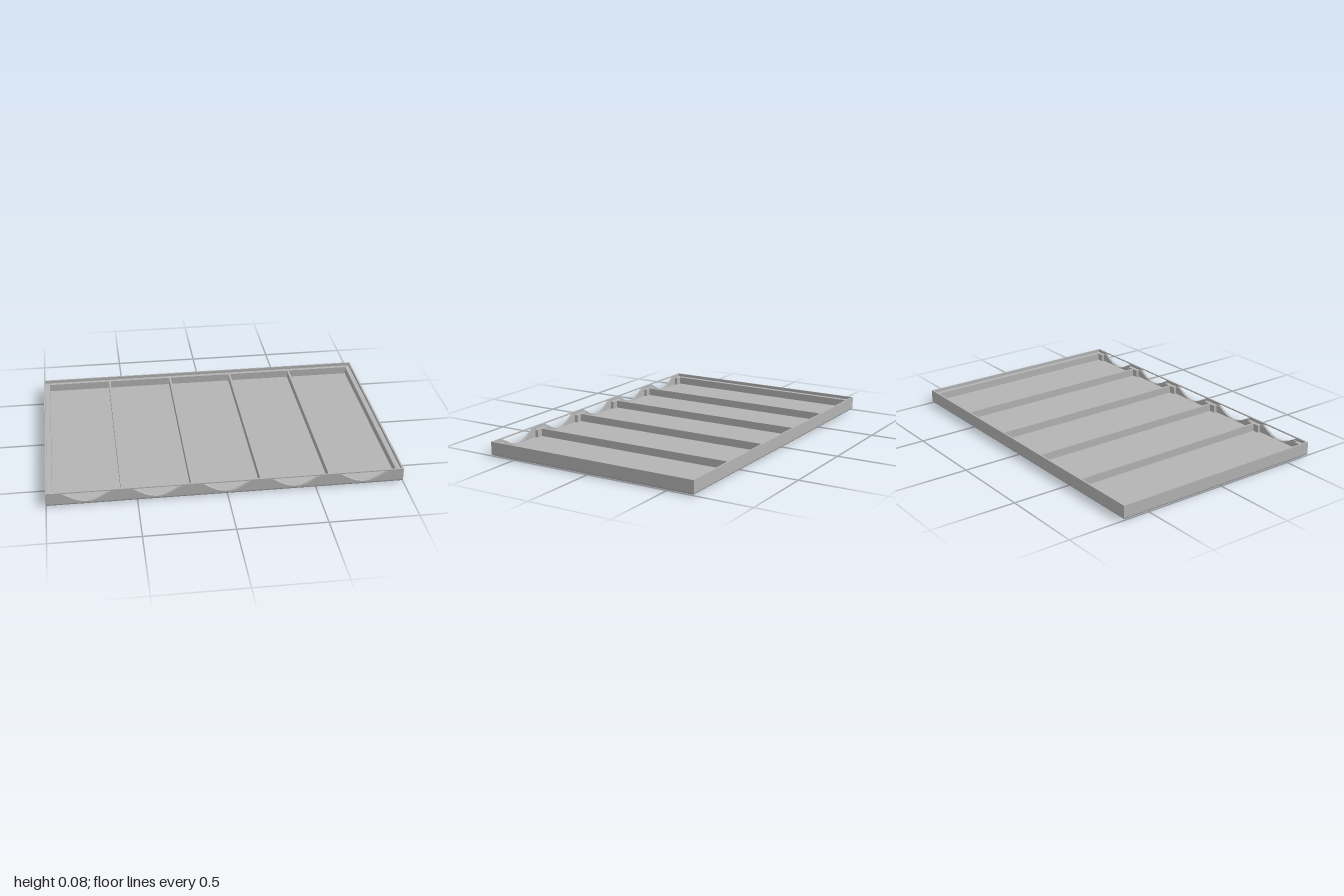
import * as THREE from 'three';

const W = 1, D = 0.66, R = 0.015;            // half width, half depth, bottom rounding
const FLOOR = 0.02, LEDGE = 0.065, TOP = 0.083;
const COMB = 0.645, RIM = 0.009;             // front end of the dividers, rim thickness
const CENTRES = [-2, -1, 0, 1, 2].map(i => i * 0.388);

export function createModel() {
  const group = new THREE.Group();
  const grey = new THREE.MeshStandardMaterial({ color: 0xb4b4b4 });
  grey.name = 'grey plastic';
  const add = (name, geo, x = 0, y = 0, z = 0) => {
    const mesh = new THREE.Mesh(geo, grey);
    mesh.name = name;
    mesh.position.set(x, y, z);
    group.add(mesh);
    return mesh;
  };
  const polygon = pts => new THREE.Shape(pts.map(p => new THREE.Vector2(...p)));

  // Underside plate with four round blind sockets
  const under = polygon([[-W + R, -D + R], [W - R, -D + R], [W - R, D - R], [-W + R, D - R]]);
  const r = 0.028, socketDepth = 0.012;
  for (const sx of [-1, 1]) for (const sz of [-1, 1]) {
    const x = sx * (W - 0.055), z = sz * (D - 0.055);
    under.holes.push(new THREE.Path().absarc(x, z, r, 0, Math.PI * 2, true));
    const wall = new THREE.CylinderGeometry(r, r, socketDepth, 24, 1, true);
    wall.scale(-1, 1, 1);                    // mirrored so that the inside shows
    add('socketWall', wall, x, socketDepth / 2, z);
    add('socketEnd', new THREE.CircleGeometry(r, 24).rotateX(Math.PI / 2), x, socketDepth, z);
  }
  add('underside', new THREE.ShapeGeometry(under, 12).rotateX(Math.PI / 2));

  // Rounded bottom edge, one mitred strip per side
  const corners = [[-1, 1], [1, 1], [1, -1], [-1, -1]], steps = 6;
  corners.forEach((a, k) => {
    const b = corners[(k + 1) % 4], pos = [], index = [];
    for (let i = 0; i <= steps; i++) {
      const t = i / steps * Math.PI / 2;
      const inset = R * (1 - Math.sin(t)), y = R * (1 - Math.cos(t));
      for (const [sx, sz] of [a, b]) pos.push(sx * (W - inset), y, sz * (D - inset));
      if (i < steps) {
        const n = 2 * i;
        index.push(n, n + 1, n + 3, n, n + 3, n + 2);
      }
    }
    const geo = new THREE.BufferGeometry();
    geo.setAttribute('position', new THREE.Float32BufferAttribute(pos, 3));
    geo.setIndex(index);
    geo.computeVertexNormals();
    add('roundedBottomEdge', geo);
  });

  // Tray floor
  add('floor', new THREE.PlaneGeometry(2 * W - 0.02, 2 * D - 0.02).rotateX(-Math.PI / 2), 0, FLOOR, 0);

  // Side walls, back wall and dividers as one comb, open to the front wall
  const comb = [[-W, D], [-W, -COMB]];
  const half = 0.188, openHalf = 0.15, shoulder = -0.627, back = 0.628;
  for (const c of CENTRES) {
    // the outer compartments end at the side walls
    const left = Math.max(c - half, -0.966), right = Math.min(c + half, 0.966);
    comb.push([c - openHalf, -COMB], [c - openHalf, shoulder], [left, shoulder], [left, back],
      [right, back], [right, shoulder], [c + openHalf, shoulder], [c + openHalf, -COMB]);
  }
  comb.push([W, -COMB], [W, D]);
  add('wallsAndDividers', new THREE.ExtrudeGeometry(polygon(comb),
    { depth: LEDGE - R, bevelEnabled: false }).rotateX(-Math.PI / 2), 0, R, 0);

  // Raised thin rim around the ledge
  const rimY = (LEDGE + TOP) / 2, rimH = TOP - LEDGE;
  add('backRim', new THREE.BoxGeometry(2 * W, rimH, RIM), 0, rimY, -D + RIM / 2);
  for (const s of [-1, 1])
    add('sideRim', new THREE.BoxGeometry(RIM, rimH, 2 * D - 2 * RIM), s * (W - RIM / 2), rimY, 0);

  // Front wall with a curved finger window per compartment
  const front = polygon([[-W, R], [W, R], [W, TOP], [-W, TOP]]);
  for (const c of CENTRES) {
    const w = new THREE.Path();
    w.moveTo(c - 0.137, 0.077);
    w.bezierCurveTo(c - 0.1, 0.055, c - 0.055, 0.021, c, 0.021);
    w.bezierCurveTo(c + 0.055, 0.021, c + 0.1, 0.055, c + 0.137, 0.077);
    w.closePath();
    front.holes.push(w);
  }
  add('frontWall', new THREE.ExtrudeGeometry(front,
    { depth: RIM, bevelEnabled: false, curveSegments: 12 }), 0, 0, D - RIM);

  // Lower inner layer of the front wall, scooped out down from the ledge
  const inner = new THREE.Shape();
  inner.moveTo(-W, R);
  inner.lineTo(W, R);
  inner.lineTo(W, LEDGE);
  for (const c of [...CENTRES].reverse()) {
    inner.lineTo(c + 0.117, LEDGE);
    inner.bezierCurveTo(c + 0.085, 0.045, c + 0.05, 0.021, c, 0.021);
    inner.bezierCurveTo(c - 0.05, 0.021, c - 0.085, 0.045, c - 0.117, LEDGE);
  }
  inner.lineTo(-W, LEDGE);
  add('frontWallInner', new THREE.ExtrudeGeometry(inner,
    { depth: D - RIM - COMB, bevelEnabled: false, curveSegments: 12 }), 0, 0, COMB);

  return group;
}
